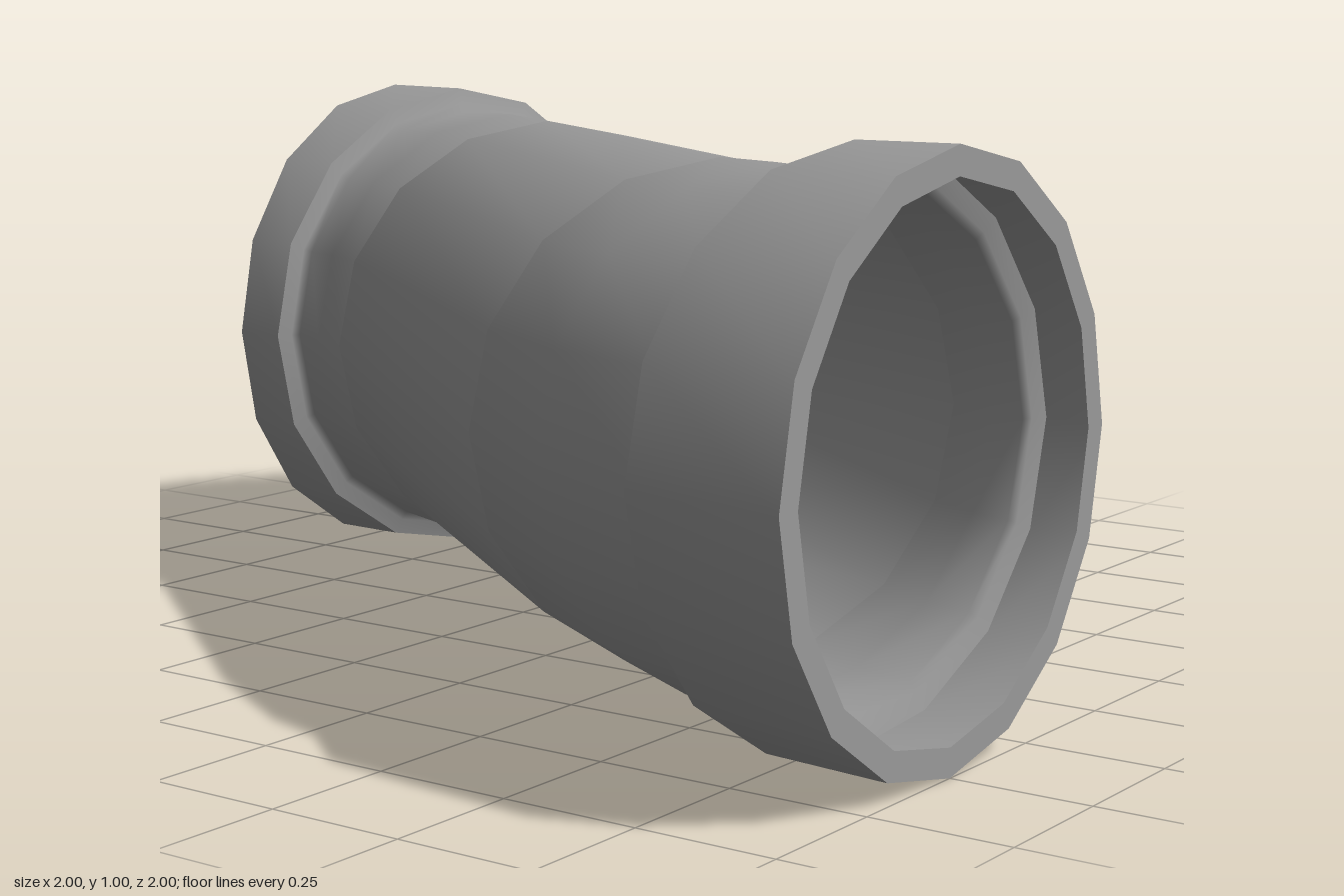
import * as THREE from 'three';

const SIDES = 16;
const material = new THREE.MeshStandardMaterial({ color: 0x999999, side: THREE.DoubleSide });

// A ring is [centre x, centre z, turn about y, radius]; rings are skinned in order.
function loft(rings, name) {
  const positions = [], index = [];
  rings.forEach(([cx, cz, turn, r], i) => {
    for (let j = 0; j < SIDES; j++) {
      const t = (j / SIDES) * Math.PI * 2;
      const across = r * Math.cos(t);
      positions.push(cx + across * Math.cos(turn), 0.5 + r * Math.sin(t), cz + across * Math.sin(turn));
      if (i === 0) continue;
      const k = (j + 1) % SIDES;
      const a = (i - 1) * SIDES + j, b = i * SIDES + j;
      const c = (i - 1) * SIDES + k, d = i * SIDES + k;
      index.push(a, b, c, b, d, c);
    }
  });
  const geometry = new THREE.BufferGeometry();
  geometry.setAttribute('position', new THREE.Float32BufferAttribute(positions, 3));
  geometry.setIndex(index);
  geometry.computeVertexNormals();
  const mesh = new THREE.Mesh(geometry, material);
  mesh.name = name;
  return mesh;
}

// Rings shared between neighbouring parts
const RIM = [-0.5, 1, 0, 0.5];
const COLLAR_END = [-0.483, 0.8, 0.184, 0.498];
const BEND_END = [-0.33, 0.44, 0.594, 0.447];

// One pipe end; each band is its own mesh so the edges between them stay sharp.
function makeEnd(name) {
  const end = new THREE.Group();
  end.name = name;
  end.add(
    loft([[-0.5, 1, 0, 0.45], RIM], 'collarRim'),
    loft([RIM, COLLAR_END], 'collar'),
    // Shoulder running smoothly into the bend
    loft([
      COLLAR_END,
      [-0.478, 0.79, 0.19, 0.465],
      [-0.475, 0.78, 0.2, 0.447],
      [-0.423, 0.615, 0.4, 0.451],
      BEND_END,
    ], 'bend'),
  );
  return end;
}

export function createModel() {
  const model = new THREE.Group();
  model.name = 'offsetPipe';

  // Straight run between the two bends
  const [x, z, turn, r] = BEND_END;
  model.add(loft([BEND_END, [-x, -z, turn, r]], 'straightPipe'));

  // Front end, and the same end turned half round for the back
  const backEnd = makeEnd('backEnd');
  backEnd.rotation.y = Math.PI;
  model.add(makeEnd('frontEnd'), backEnd);
  return model;
}
